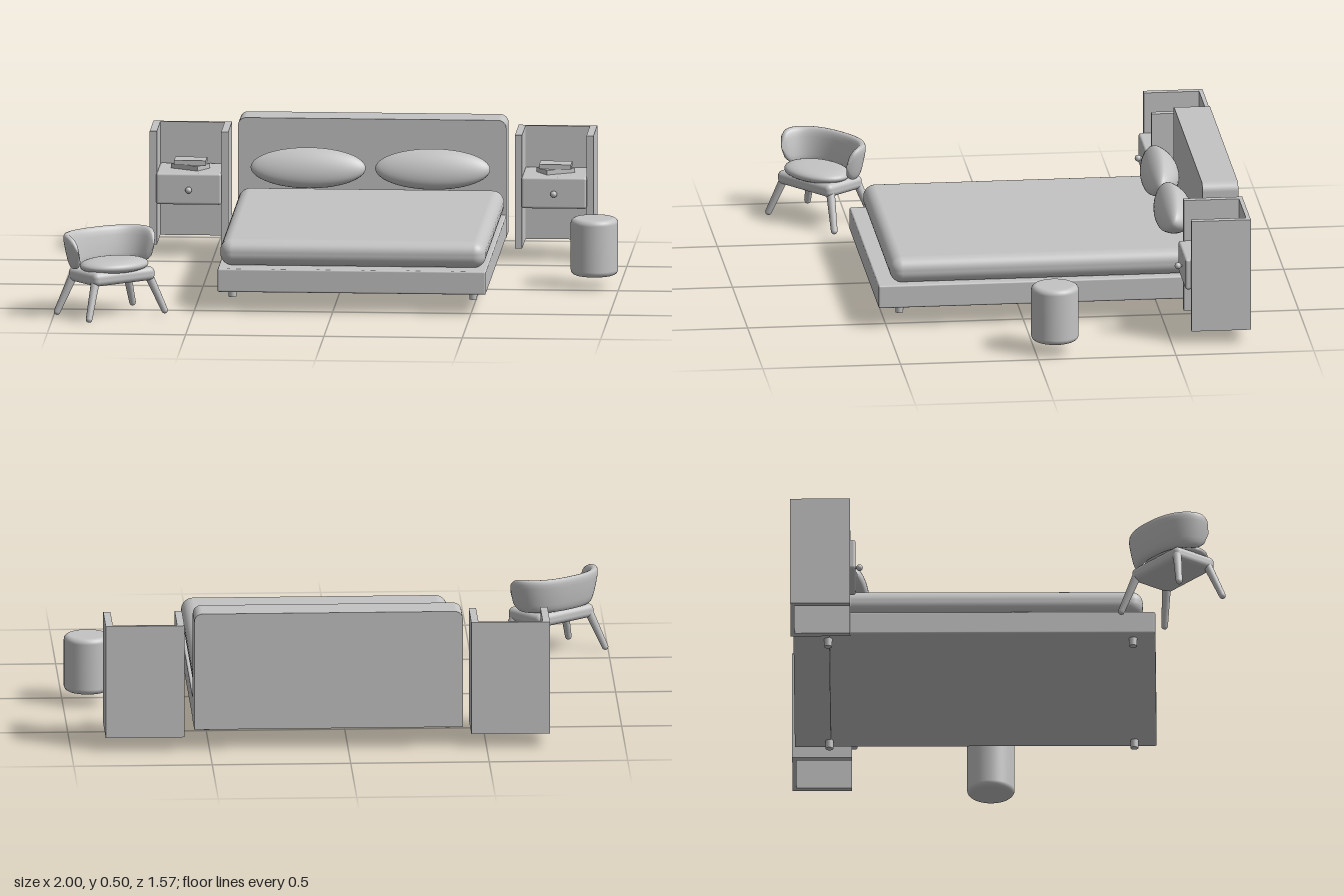
import * as THREE from 'three';
import { RoundedBoxGeometry } from 'three/addons/geometries/RoundedBoxGeometry.js';

const grey = new THREE.MeshStandardMaterial({ color: 0xc4c4c4 });
grey.name = 'light grey';

function add(parent, name, geometry, x = 0, y = 0, z = 0) {
  const mesh = new THREE.Mesh(geometry, grey);
  mesh.name = name;
  mesh.position.set(x, y, z);
  parent.add(mesh);
  return mesh;
}

function group(parent, name, x = 0, y = 0, z = 0) {
  const g = new THREE.Group();
  g.name = name;
  g.position.set(x, y, z);
  parent.add(g);
  return g;
}

// Box given by its limits, with optional rounded edges
function box(parent, name, [x0, x1], [y0, y1], [z0, z1], radius = 0) {
  const size = [x1 - x0, y1 - y0, z1 - z0];
  const geometry = radius ? new RoundedBoxGeometry(...size, 5, radius) : new THREE.BoxGeometry(...size);
  return add(parent, name, geometry, (x0 + x1) / 2, (y0 + y1) / 2, (z0 + z1) / 2);
}

// Tapered rod between two points with a rounded foot
function rod(parent, name, top, foot, rTop, rFoot) {
  const a = new THREE.Vector3(...top), b = new THREE.Vector3(...foot);
  const dir = a.clone().sub(b);
  const mid = a.clone().add(b).multiplyScalar(0.5);
  const mesh = add(parent, name, new THREE.CylinderGeometry(rTop, rFoot, dir.length(), 16), mid.x, mid.y, mid.z);
  mesh.quaternion.setFromUnitVectors(new THREE.Vector3(0, 1, 0), dir.normalize());
  add(parent, name + 'Tip', new THREE.SphereGeometry(rFoot, 16, 8), ...foot);
}

// Lens with a shallow front and a fuller back
function pillowGeometry() {
  const geometry = new THREE.SphereGeometry(1, 40, 28);
  const p = geometry.attributes.position;
  for (let i = 0; i < p.count; i++) {
    const z = p.getZ(i);
    p.setXYZ(i, p.getX(i) * 0.208, p.getY(i) * 0.074, z * (z > 0 ? 0.04 : 0.09));
  }
  geometry.computeVertexNormals();
  return geometry;
}

// Drum with rounded rims
function drumGeometry(r, h, bevel) {
  const pts = [new THREE.Vector2(0, 0)];
  for (let i = 0; i <= 6; i++) {
    const a = (i / 6) * Math.PI / 2;
    pts.push(new THREE.Vector2(r - bevel + bevel * Math.sin(a), bevel - bevel * Math.cos(a)));
  }
  for (let i = 0; i <= 6; i++) {
    const a = (i / 6) * Math.PI / 2;
    pts.push(new THREE.Vector2(r - bevel + bevel * Math.cos(a), h - bevel + bevel * Math.sin(a)));
  }
  pts.push(new THREE.Vector2(0, h));
  return new THREE.LatheGeometry(pts, 40);
}

// Curved backrest: rounded cross-sections swept round an arc, closing at both ends
function backrestGeometry() {
  const slices = 48, ring = 20, positions = [], index = [];
  const soft = (v, e) => Math.sign(v) * Math.abs(v) ** e;
  for (let i = 0; i <= slices; i++) {
    const u = (i / slices) * 2 - 1;
    const t = u * 1.62;
    const close = Math.max(0.001, (1 - Math.abs(u) ** 14)) ** 0.5;
    for (let j = 0; j < ring; j++) {
      const a = (j / ring) * Math.PI * 2;
      const out = soft(Math.cos(a), 0.7) * 0.017 * close;
      const up = soft(Math.sin(a), 0.6) * 0.064 * close;
      const flare = 1 + up * 1.3;
      positions.push(
        soft(Math.sin(t), 0.85) * (0.166 * flare + out),
        0.241 + up,
        0.025 - soft(Math.cos(t), 0.8) * (0.122 * flare + out));
      if (i < slices) {
        const k = (j + 1) % ring, p = i * ring, q = p + ring;
        index.push(p + j, p + k, q + j, p + k, q + k, q + j);
      }
    }
  }
  // End caps
  const last = slices * ring;
  for (let j = 1; j < ring - 1; j++) index.push(0, j + 1, j, last, last + j, last + j + 1);
  const geometry = new THREE.BufferGeometry();
  geometry.setAttribute('position', new THREE.Float32BufferAttribute(positions, 3));
  geometry.setIndex(index);
  // Make the faces point outwards
  let volume = 0;
  const v = [0, 1, 2].map(() => new THREE.Vector3());
  for (let i = 0; i < index.length; i += 3) {
    v.forEach((c, k) => c.fromArray(positions, index[i + k] * 3));
    volume += v[0].dot(v[1].clone().cross(v[2]));
  }
  if (volume < 0) geometry.setIndex(index.slice().reverse());
  geometry.computeVertexNormals();
  return geometry;
}

function buildBed(parent) {
  const bed = group(parent, 'bed', 0.07);
  box(bed, 'bedBase', [-0.485, 0.485], [0.075, 0.16], [-0.645, 0.53], 0.006);
  box(bed, 'mattress', [-0.48, 0.48], [0.16, 0.255], [-0.64, 0.485], 0.043);

  // Headboard with rounded upper corners
  const w = 0.485, top = 0.505, r = 0.03;
  const s = new THREE.Shape();
  s.moveTo(-w, 0.075);
  s.lineTo(w, 0.075);
  s.lineTo(w, top - r);
  s.absarc(w - r, top - r, r, 0, Math.PI / 2);
  s.absarc(-w + r, top - r, r, Math.PI / 2, Math.PI);
  add(bed, 'headboard', new THREE.ExtrudeGeometry(s, { depth: 0.13, bevelEnabled: false, curveSegments: 10 }), 0, 0, -0.775);

  for (const side of [-1, 1]) {
    const pillow = add(bed, 'pillow', pillowGeometry(), side * 0.225, 0.342, -0.548);
    pillow.rotation.x = -0.42;
    for (const z of [-0.65, 0.45]) {
      add(bed, 'bedLeg', new THREE.CylinderGeometry(0.015, 0.014, 0.035, 20), side * 0.435, 0.0625, z);
    }
  }
}

function buildNightstand(parent, x, side) {
  const stand = group(parent, 'nightstand', x);
  box(stand, 'backPanel', [-0.142, 0.142], [0.05, 0.465], [-0.785, -0.77]);
  for (const s of [-1, 1]) {
    const xs = [s * 0.116, s * 0.142].sort((a, b) => a - b);
    box(stand, 'sidePanel', xs, [0.05, 0.465], [-0.785, -0.57]);
  }
  box(stand, 'drawer', [-0.118, 0.118], [0.2, 0.315], [-0.772, -0.55], 0.009);
  add(stand, 'knob', new THREE.SphereGeometry(0.012, 20, 14), 0, 0.256, -0.536);
  const stem = add(stand, 'knobStem', new THREE.CylinderGeometry(0.005, 0.005, 0.02, 12), 0, 0.256, -0.548);
  stem.rotation.x = Math.PI / 2;
  const lower = add(stand, 'lowerBook', new THREE.BoxGeometry(0.115, 0.017, 0.08), 0, 0.3235, -0.663);
  lower.rotation.y = side * 0.54;
  add(stand, 'upperBook', new THREE.BoxGeometry(0.115, 0.017, 0.08), 0, 0.3405, -0.663);
}

function buildChair(parent) {
  const chair = group(parent, 'armchair', -0.796, 0, 0.592);
  chair.rotation.y = 0.68;
  box(chair, 'seatFrame', [-0.135, 0.135], [0.125, 0.175], [-0.085, 0.095], 0.02);

  // Soft oval cushion
  const cushion = new THREE.SphereGeometry(1, 36, 24);
  const p = cushion.attributes.position;
  for (let i = 0; i < p.count; i++) {
    const y = p.getY(i), h = Math.hypot(p.getX(i), p.getZ(i)) || 1;
    const k = Math.sqrt(h) / h;
    p.setXYZ(i, p.getX(i) * k * 0.135, y * 0.024, p.getZ(i) * k * 0.098);
  }
  cushion.computeVertexNormals();
  add(chair, 'seatCushion', cushion, 0, 0.186, 0.02);

  add(chair, 'backrest', backrestGeometry());
  for (const sx of [-1, 1]) {
    for (const sz of [-1, 1]) {
      rod(chair, 'chairLeg', [sx * 0.115, 0.15, sz * 0.068], [sx * 0.167, 0.013, sz * 0.1], 0.016, 0.012);
    }
  }
}

export function createModel() {
  const model = new THREE.Group();
  model.name = 'bedroomSet';
  buildBed(model);
  buildNightstand(model, -0.587, -1);
  buildNightstand(model, 0.733, 1);
  buildChair(model);
  add(model, 'pouf', drumGeometry(0.086, 0.208, 0.02), 0.91, 0.048, 0.07 * -1);
  return model;
}
